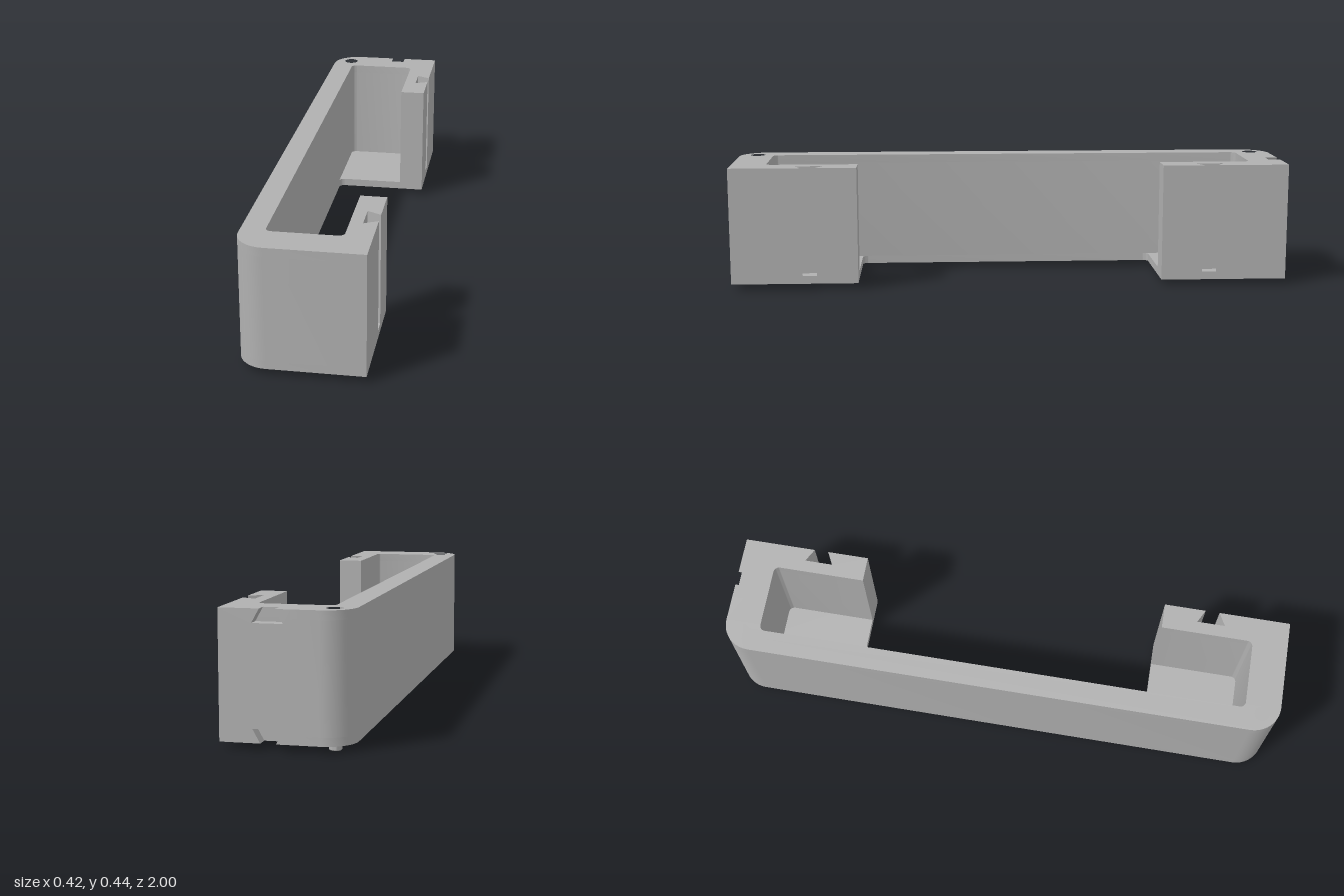
import * as THREE from 'three';
import { toCreasedNormals } from 'three/addons/utils/BufferGeometryUtils.js';

const BASE = 0.022, FLOOR = 0.05, HOLE = 0.41, TOP = 0.44;
const INNER = 0.547, PIN_X = -0.144, PIN_Z = 0.935;
const NOTCH_Z = -0.957, NOTCH_X = -0.02;

// Shape from [x, y, radius] corners; right-angled corners with a radius become arcs.
function roundedShape(corners) {
  const pts = [], n = corners.length;
  corners.forEach(([x, y, r], i) => {
    const c = new THREE.Vector2(x, y);
    if (!r) return pts.push(c);
    const a = corners[(i + n - 1) % n], b = corners[(i + 1) % n];
    const din = new THREE.Vector2(x - a[0], y - a[1]).normalize();
    const dout = new THREE.Vector2(b[0] - x, b[1] - y).normalize();
    const centre = c.clone().addScaledVector(din, -r).addScaledVector(dout, r);
    for (let k = 0; k <= 10; k++) {
      const t = (k / 10) * Math.PI / 2;
      pts.push(centre.clone()
        .addScaledVector(dout, -r * Math.cos(t))
        .addScaledVector(din, r * Math.sin(t)));
    }
  });
  return new THREE.Shape(pts);
}

// Plan outline: front half, then its mirror with a step left for the notched back panel.
function planShape(innerCorners) {
  const half = [[-0.21, 1, 0.1], [0.21, 1, 0], ...innerCorners];
  const back = half.map(([x, z, r]) => [x, -z, r]);
  back.splice(1, 1, [NOTCH_X, -1, 0], [NOTCH_X, NOTCH_Z, 0], [0.21, NOTCH_Z, 0]);
  return roundedShape([...half, ...back.reverse()]);
}

export function createModel() {
  const group = new THREE.Group();
  const grey = new THREE.MeshStandardMaterial({ color: 0xb0b0b0 });
  grey.name = 'grey';

  const add = (name, geometry) => {
    const mesh = new THREE.Mesh(toCreasedNormals(geometry, 0.6), grey);
    mesh.name = name;
    group.add(mesh);
    return mesh;
  };
  const layer = (name, shape, y0, y1) => {
    const g = new THREE.ExtrudeGeometry(shape, { depth: y1 - y0, bevelEnabled: false, curveSegments: 24 });
    add(name, g.rotateX(Math.PI / 2).translate(0, y1, 0));
  };

  // Floor under both end pockets
  layer('floor', planShape([[0.21, INNER, 0], [-0.13, INNER, 0.02]]), BASE, FLOOR);

  // Walls with pockets and vertical dovetail grooves
  const wallCorners = [
    [0.21, 0.745, 0], [0.163, 0.77, 0], [0.163, 0.67, 0], [0.21, 0.695, 0],
    [0.21, INNER, 0], [0.12, INNER, 0], [0.12, 0.875, 0.02], [-0.13, 0.875, 0.02],
  ];
  layer('walls', planShape(wallCorners), FLOOR, HOLE);

  // Rim with round sockets
  const rim = planShape(wallCorners);
  for (const s of [1, -1]) {
    rim.holes.push(new THREE.Path().absarc(PIN_X, s * PIN_Z, 0.027, 0, Math.PI * 2, true));
  }
  layer('rim', rim, HOLE, TOP);

  // Back panel with dovetail notches in its top and bottom edges
  const panel = roundedShape([
    [NOTCH_X, BASE], [0.028, BASE], [0.003, BASE + 0.045], [0.103, BASE + 0.045], [0.078, BASE], [0.21, BASE],
    [0.21, TOP], [0.078, TOP], [0.103, TOP - 0.045], [0.003, TOP - 0.045], [0.028, TOP], [NOTCH_X, TOP],
  ]);
  add('backPanel', new THREE.ExtrudeGeometry(panel, { depth: 1 + NOTCH_Z, bevelEnabled: false }).translate(0, 0, -1));

  // Locating pins with a small chamfer
  for (const s of [1, -1]) {
    const profile = [[0, 0], [0.018, 0], [0.0205, 0.003], [0.0205, BASE + 0.002]]
      .map(([r, y]) => new THREE.Vector2(r, y));
    add(s > 0 ? 'frontPin' : 'backPin', new THREE.LatheGeometry(profile, 24))
      .position.set(PIN_X, 0, s * PIN_Z);
  }
  return group;
}
